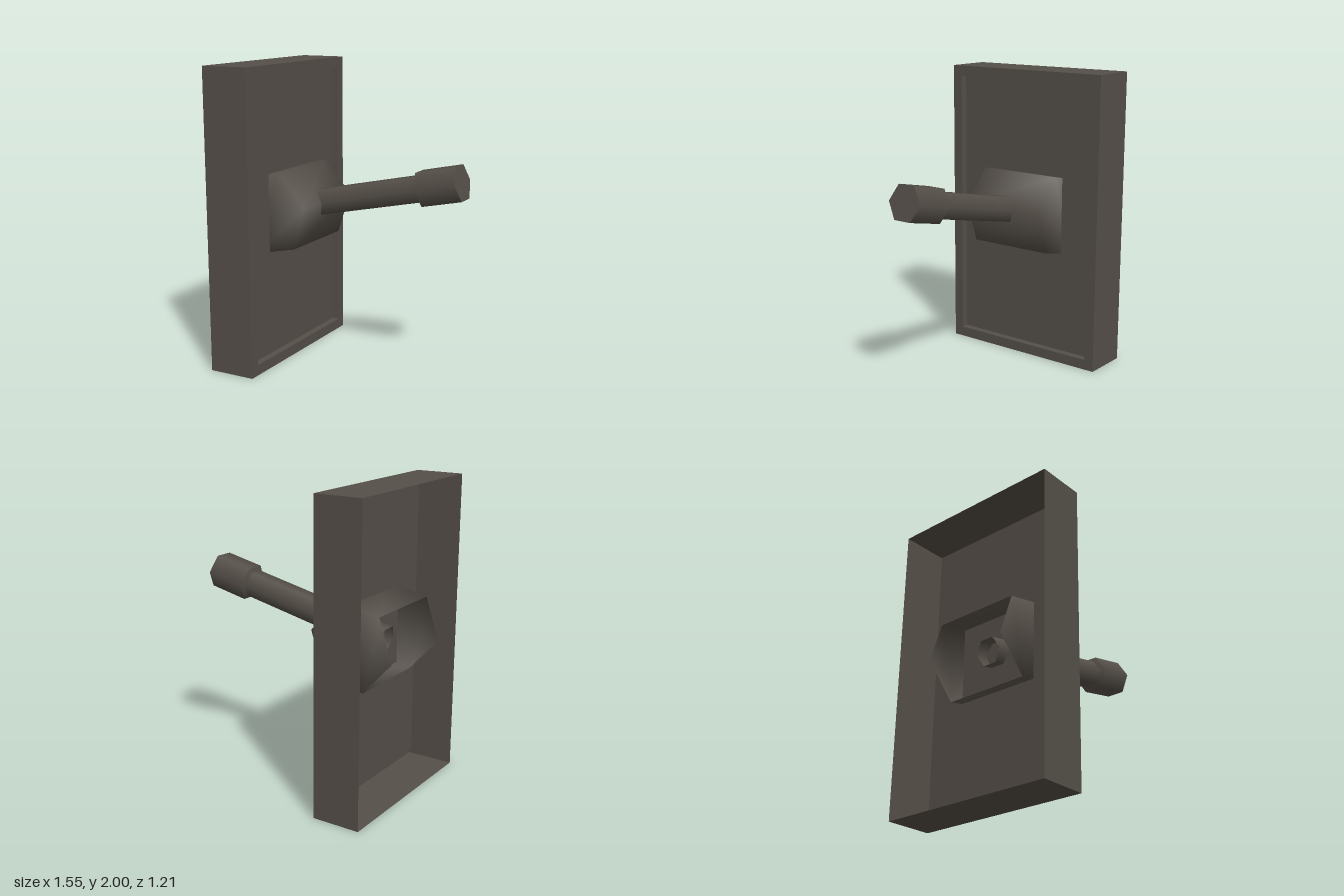
import * as THREE from 'three';

const material = new THREE.MeshStandardMaterial({ color: 0x554f48, side: THREE.DoubleSide });
material.name = 'dark bronze';

function part(name, geometry) {
  const mesh = new THREE.Mesh(geometry, material);
  mesh.name = name;
  return mesh;
}

// Thin rectangular shell along x; each ring is [x, half height, half depth]
function shell(rings) {
  const corner = ([x, h, d], i) => {
    const [sy, sz] = [[-1, 1], [-1, -1], [1, -1], [1, 1]][i % 4];
    return [x, 1 + sy * h, sz * d];
  };
  const pos = [];
  for (let r = 0; r + 1 < rings.length; r++) {
    for (let i = 0; i < 4; i++) {
      const a = corner(rings[r], i), b = corner(rings[r], i + 1);
      const c = corner(rings[r + 1], i + 1), d = corner(rings[r + 1], i);
      pos.push(...a, ...c, ...b, ...a, ...d, ...c);
    }
  }
  const g = new THREE.BufferGeometry();
  g.setAttribute('position', new THREE.Float32BufferAttribute(pos, 3));
  g.computeVertexNormals();
  // Turn faces outward
  return g;
}

// Six-sided drum across z, open at the back, with shared smooth normals
function drum(radius, halfDepth) {
  const pos = [], index = [];
  for (const z of [halfDepth, -halfDepth]) {
    for (let i = 0; i < 6; i++) {
      const a = (i - 2) * Math.PI / 3;
      pos.push(radius * Math.cos(a), radius * Math.sin(a), z);
    }
  }
  for (let i = 0; i < 4; i++) {
    index.push(i, i + 6, i + 7, i, i + 7, i + 1);
    index.push(0, i + 1, i + 2 > 5 ? 0 : i + 2, 6, i + 8, i + 7);
  }
  const g = new THREE.BufferGeometry();
  g.setAttribute('position', new THREE.Float32BufferAttribute(pos, 3));
  g.setIndex(index);
  g.computeVertexNormals();
  return g;
}

// Six-sided turned part running along +x
function turned(points) {
  const g = new THREE.LatheGeometry(points.map(([r, u]) => new THREE.Vector2(r, u)), 6);
  return g.rotateZ(-Math.PI / 2);
}

export function createModel() {
  const model = new THREE.Group();

  // Wall plate: open-backed case with a raised rim and a sunken panel
  const plate = new THREE.Group();
  plate.name = 'wallPlate';
  plate.add(part('plateCase', shell([
    [-0.75, 1, 0.605], [-0.43, 1, 0.605], [-0.43, 0.93, 0.535], [-0.48, 0.93, 0.535],
  ])));
  const panel = part('sunkenPanel', new THREE.PlaneGeometry(1.07, 1.86));
  panel.rotation.y = Math.PI / 2;
  panel.position.set(-0.48, 1, 0);
  plate.add(panel);
  model.add(plate);

  // Tilting switch: pivot drum, rod and grip on one axis
  const lever = new THREE.Group();
  lever.name = 'lever';
  lever.position.set(-0.49, 1.03, 0);
  lever.rotation.z = THREE.MathUtils.degToRad(12.15);
  lever.add(part('pivotDrum', drum(0.295, 0.295)));
  lever.add(part('leverRod', turned([[0.095, -0.08], [0.095, 0.99]])));
  lever.add(part('gripCollar', turned([[0.095, 0.98], [0.126, 0.995]])));
  lever.add(part('leverGrip', turned([[0.126, 0.995], [0.126, 1.27]])));
  lever.add(part('gripEnd', turned([[0.126, 1.27], [0, 1.27]])));
  model.add(lever);

  return model;
}
